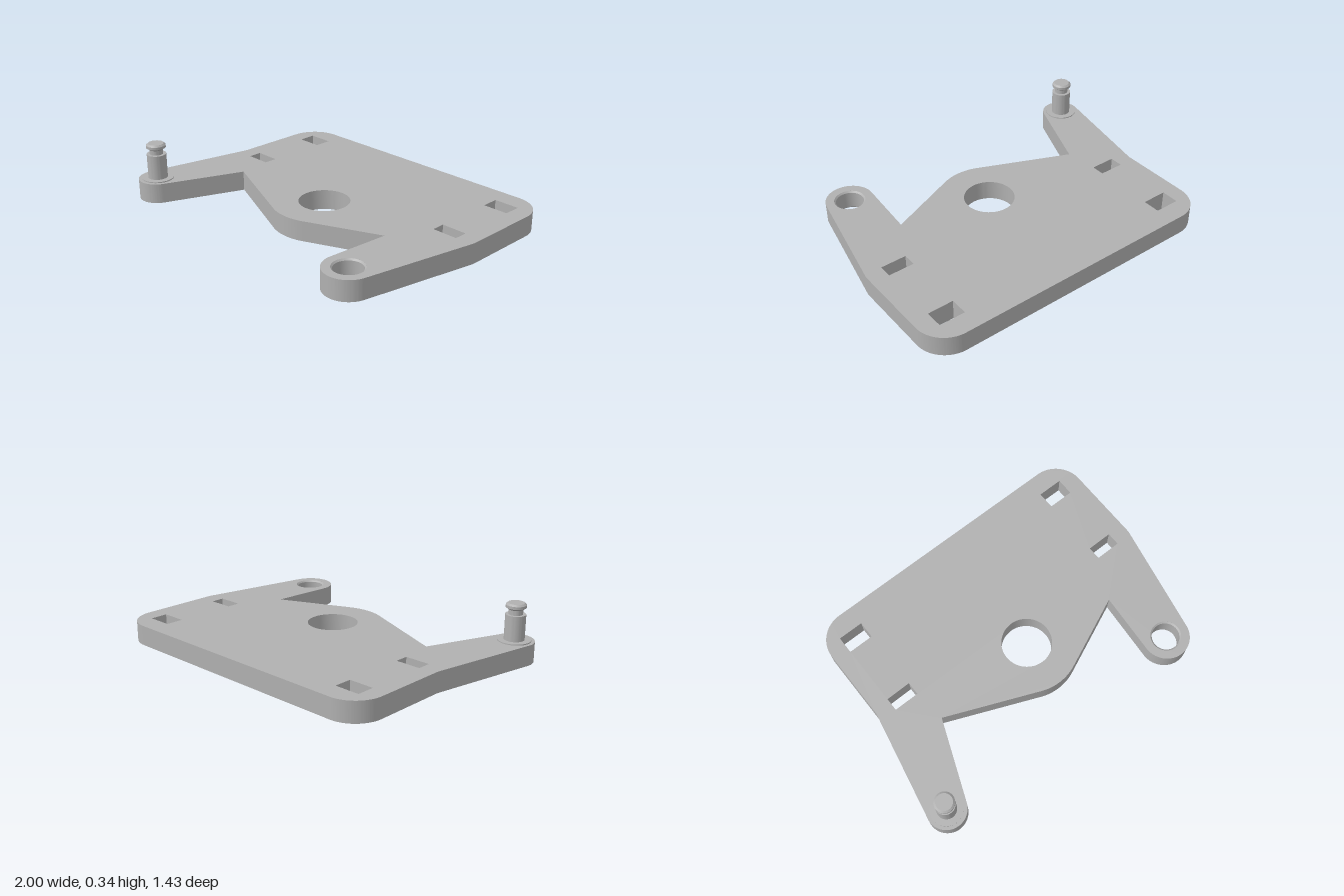
import * as THREE from 'three';
import { toCreasedNormals } from 'three/addons/utils/BufferGeometryUtils.js';

const T = 0.12; // plate thickness

export function createModel() {
  const group = new THREE.Group();
  const grey = new THREE.MeshStandardMaterial({ color: 0xb0b0b0 });
  grey.name = 'plain grey';

  const add = (name, geometry, x = 0, z = 0) => {
    const mesh = new THREE.Mesh(toCreasedNormals(geometry, 0.4), grey);
    mesh.name = name;
    mesh.position.set(x, 0, z);
    group.add(mesh);
  };
  const lathe = (profile) =>
    new THREE.LatheGeometry(profile.map(([r, y]) => new THREE.Vector2(r, y)), 48);

  // Plate outline, drawn counter-clockwise with shape y = -z
  const outline = new THREE.Shape();
  // Rounded end joined by tangent lines to the corner before and the corner after
  const roundEnd = (from, c, r, to) => {
    const tangent = (p, side) => {
      const dx = p[0] - c[0], dy = p[1] - c[1];
      return Math.atan2(dy, dx) + side * Math.acos(r / Math.hypot(dx, dy));
    };
    outline.absarc(c[0], c[1], r, tangent(from, 1), tangent(to, -1), false);
    outline.lineTo(to[0], to[1]);
  };
  const rightHip = [-0.87, 0.1], rightCrotch = [-0.595, -0.15];
  const leftCrotch = [0.615, -0.195], leftHip = [1, 0.07];
  outline.moveTo(-0.87, 0.54);
  outline.lineTo(...rightHip);
  roundEnd(rightHip, [-0.885, -0.575], 0.115, rightCrotch);
  roundEnd(rightCrotch, [0.065, -0.1], 0.305, leftCrotch);
  roundEnd(leftCrotch, [0.725, -0.575], 0.14, leftHip);
  outline.absarc(0.82, 0.54, 0.18, 0, Math.PI / 2, false);
  outline.absarc(-0.69, 0.54, 0.18, Math.PI / 2, Math.PI, false);

  // Round holes
  for (const [x, y, r] of [[0.065, -0.1, 0.148], [0.725, -0.575, 0.09]]) {
    outline.holes.push(new THREE.Path().absarc(x, y, r, 0, Math.PI * 2, true));
  }
  // Four rectangular slots
  for (const x of [-0.77, 0.743]) {
    for (const [y0, y1] of [[0.495, 0.6], [0.05, 0.13]]) {
      outline.holes.push(new THREE.Path([
        new THREE.Vector2(x, y0), new THREE.Vector2(x, y1),
        new THREE.Vector2(x + 0.152, y1), new THREE.Vector2(x + 0.152, y0),
      ]));
    }
  }
  const plate = new THREE.ExtrudeGeometry(outline, { depth: T, bevelEnabled: false, curveSegments: 32 });
  add('plate', plate.rotateX(-Math.PI / 2));

  // Chamfered lining of the arm hole, facing inwards
  add('holeLining', lathe([[0.09, T], [0.081, T - 0.009], [0.081, 0.009], [0.09, 0]]), 0.725, 0.575);

  // Pin with a thin flange, a groove and a chamfered head
  add('pin', lathe([
    [0.095, T - 0.001], [0.095, T + 0.006], [0.058, T + 0.006], [0.058, 0.274],
    [0.04, 0.274], [0.04, 0.302], [0.058, 0.314], [0.058, 0.33], [0.047, 0.34], [0, 0.34],
  ]), -0.885, 0.575);

  return group;
}
